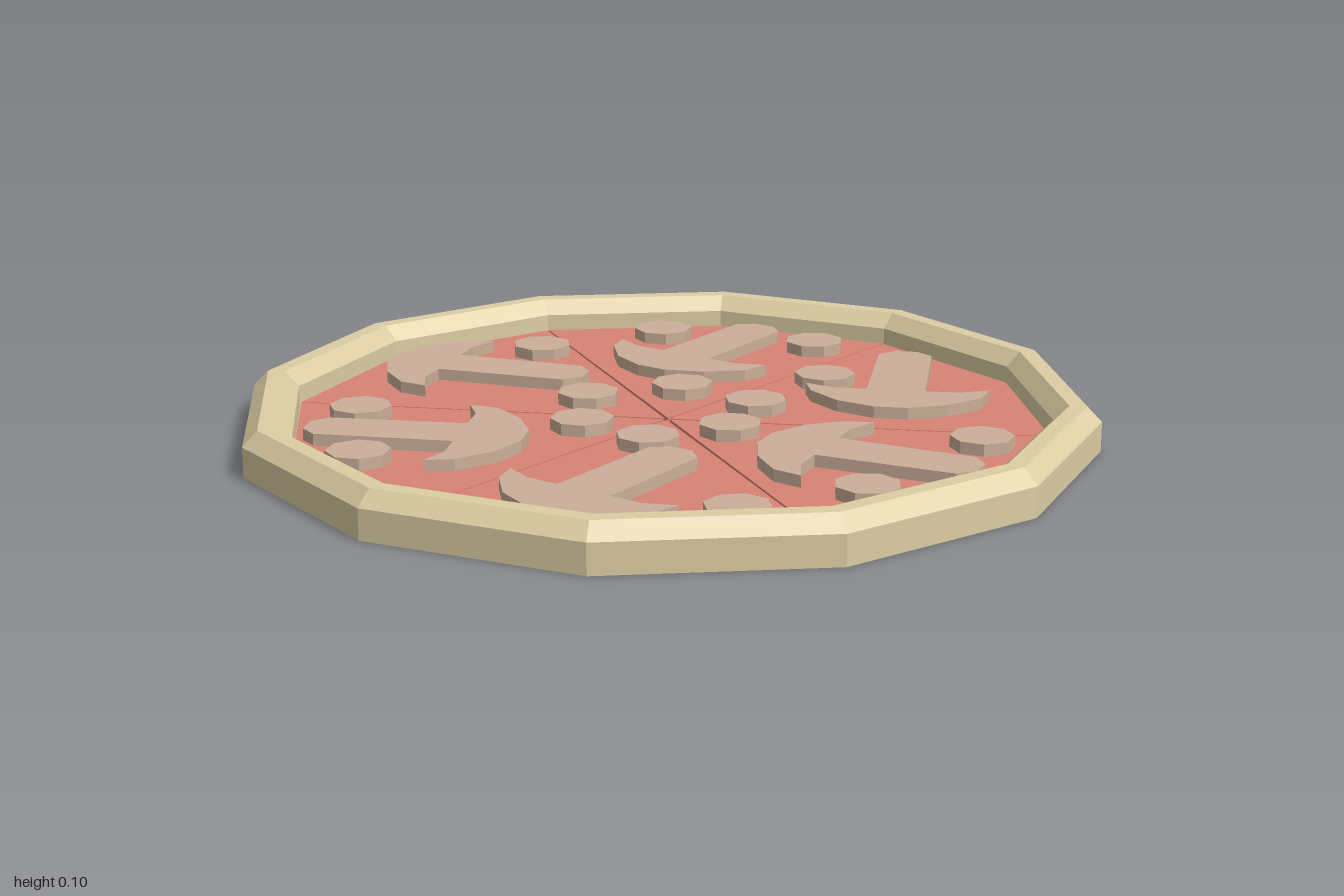
import * as THREE from 'three';

const crustMat = new THREE.MeshStandardMaterial({ name: 'crust', color: 0xdccda3, flatShading: true });
const sauceMat = new THREE.MeshStandardMaterial({ name: 'sauce', color: 0xd78374, flatShading: true });
const toppingMat = new THREE.MeshStandardMaterial({ name: 'topping', color: 0xcbaf9a, flatShading: true });

const FLOOR = 0.018, SAUCE = 0.03, TOP = 0.058;

function add(parent, name, geometry, material, x = 0, y = 0, z = 0, turn = 0) {
  const mesh = new THREE.Mesh(geometry, material);
  mesh.name = name;
  mesh.position.set(x, y, z);
  mesh.rotation.y = turn;
  parent.add(mesh);
  return mesh;
}

// Flat outline lying on the ground plane, raised to a given thickness
function slab(points, depth) {
  const shape = new THREE.Shape(points.map(([x, y]) => new THREE.Vector2(x, y)));
  return new THREE.ExtrudeGeometry(shape, { depth, bevelEnabled: false }).rotateX(-Math.PI / 2);
}

export function createModel() {
  const pizza = new THREE.Group();
  pizza.name = 'pizza';

  // Twelve-sided base with a bevelled rim
  const profile = [
    [0, 0], [1, 0], [1, 0.07], [0.965, 0.105], [0.925, 0.105], [0.89, 0.07], [0.89, FLOOR], [0, FLOOR],
  ].map(([r, y]) => new THREE.Vector2(r, y));
  add(pizza, 'crust', new THREE.LatheGeometry(profile, 12), crustMat);

  // Six sauce wedges with narrow cuts between them
  const gap = 0.004, R = 0.889, a = Math.PI / 6;
  const wedge = slab([
    [gap / Math.sin(a), 0],
    [R * Math.cos(a) - gap * Math.sin(a), -R * Math.sin(a) + gap * Math.cos(a)],
    [R, 0],
    [R * Math.cos(a) - gap * Math.sin(a), R * Math.sin(a) - gap * Math.cos(a)],
  ], SAUCE - FLOOR);
  for (let i = 0; i < 6; i++) {
    add(pizza, 'sauceSlice', wedge, sauceMat, 0, FLOOR, 0, a + i * Math.PI / 3);
  }

  // Mushroom slices: stem along -x, crescent cap towards +x
  const mushroom = slab([
    [-0.03, -0.22], [0.035, -0.2], [0.11, -0.13], [0.15, -0.04], [0.15, 0.04], [0.11, 0.13],
    [0.04, 0.205], [-0.03, 0.22], [0, 0.15], [0, 0.07], [-0.325, 0.066], [-0.36, 0.028],
    [-0.36, -0.028], [-0.325, -0.066], [0, -0.07], [0, -0.15],
  ], TOP - SAUCE);
  // x, z, and the direction the cap points to
  const mushrooms = [
    [-0.43, 0.27, 1, 0], [-0.03, -0.48, -0.44, 0.9], [0.515, -0.235, 0, 1],
    [-0.6, -0.316, -0.99, -0.16], [0.397, 0.247, -0.96, -0.28], [-0.075, 0.638, -0.44, 0.9],
  ];
  for (const [x, z, dx, dz] of mushrooms) {
    add(pizza, 'mushroomSlice', mushroom, toppingMat, x, SAUCE, z, Math.atan2(-dz, dx));
  }

  // Small eight-sided round toppings
  const disc = new THREE.CylinderGeometry(0.074, 0.074, TOP - SAUCE, 8);
  const discs = [
    [-0.13, -0.74], [0.273, -0.675], [-0.41, -0.53], [0.332, -0.364], [0, -0.225],
    [-0.21, -0.113], [0.193, -0.113], [-0.713, 0.091], [-0.182, 0.107], [0.16, 0.091],
    [-0.01, 0.214], [0.735, 0.107], [-0.622, 0.434], [0.51, 0.499], [0.257, 0.681],
  ];
  discs.forEach(([x, z], i) => {
    add(pizza, 'roundTopping', disc, toppingMat, x, (TOP + SAUCE) / 2, z, 0.25 + i * 0.2);
  });

  return pizza;
}
